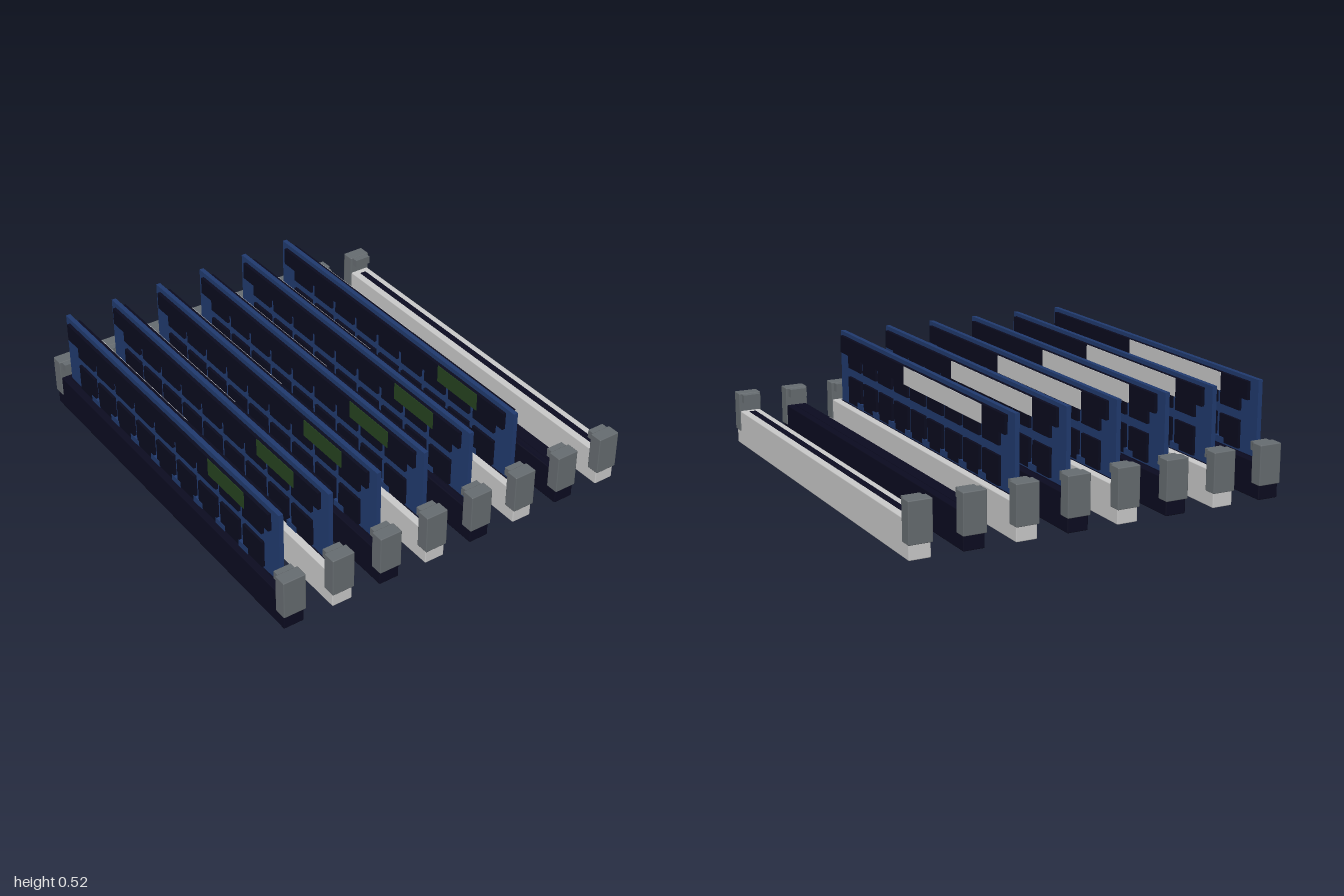
import * as THREE from 'three';
import { RoundedBoxGeometry } from 'three/addons/geometries/RoundedBoxGeometry.js';

const mat = (name, color) => {
  const m = new THREE.MeshStandardMaterial({ color });
  m.name = name;
  return m;
};

export function createModel() {
  const dark = mat('darkPlastic', 0x0b0b20);
  const light = mat('lightPlastic', 0xc9c9c9);
  const grey = mat('greyLatch', 0x666c70);
  const blue = mat('blueBoard', 0x203a6e);
  const chip = mat('blackChip', 0x0a0b1e);
  const green = mat('greenLabel', 0x25421f);

  // Box given by its limits on each axis; bevel > 0 softens the edges
  function box(parent, name, material, [x0, x1], [y0, y1], [z0, z1], bevel = 0) {
    const size = [x1 - x0, y1 - y0, z1 - z0];
    const geo = bevel ? new RoundedBoxGeometry(...size, 1, bevel) : new THREE.BoxGeometry(...size);
    const mesh = new THREE.Mesh(geo, material);
    mesh.name = name;
    mesh.position.set((x0 + x1) / 2, (y0 + y1) / 2, (z0 + z1) / 2);
    parent.add(mesh);
    return mesh;
  }

  // Long socket with a dark groove and a latch at each end
  function socket(material) {
    const g = new THREE.Group();
    g.name = 'socket';
    box(g, 'socketBase', material, [-0.05, 0.05], [0, 0.168], [-0.99, 0.99], 0.005);
    box(g, 'socketGroove', dark, [-0.016, 0.016], [0.16, 0.17], [-0.905, 0.905]);
    for (const s of [1, -1]) {
      const span = (a, b) => (s > 0 ? [a, b] : [-b, -a]);
      box(g, 'latch', grey, [-0.055, 0.055], [0.068, 0.255], span(0.936, 1), 0.004);
      box(g, 'latchTab', grey, [-0.042, 0.042], [0.212, 0.252], span(0.905, 0.94));
    }
    return g;
  }

  // Upright board with chips, a cover strip and a label on both sides
  function memoryBoard() {
    const g = new THREE.Group();
    g.name = 'memoryBoard';
    box(g, 'board', blue, [-0.011, 0.011], [0.169, 0.525], [-0.905, 0.905]);
    for (const s of [1, -1]) {
      const out = (a, b) => (s > 0 ? [a, b] : [-b, -a]);
      box(g, 'coverStrip', chip, out(0.018, 0.034), [0.425, 0.51], [-0.855, 0.86]);
      for (let i = 0; i < 9; i++) {
        const z = 0.004 + (4 - i) * 0.1785;
        const span = [z - 0.0735, z + 0.0735];
        box(g, 'upperChip', chip, out(0.011, 0.024), [0.36, 0.49], span);
        box(g, 'lowerChip', chip, out(0.011, 0.024), [0.183, 0.315], span);
      }
      // Small blue feet along the bottom edge
      for (let i = 0; i < 8; i++) {
        const z = 0.647 - i * 0.1835;
        box(g, 'contactFoot', blue, out(0.011, 0.026), [0.178, 0.208], [z - 0.036, z + 0.036]);
      }
    }
    box(g, 'lightLabel', light, [0.033, 0.037], [0.425, 0.509], [-0.65, 0.118]);
    box(g, 'greenLabel', green, [-0.037, -0.033], [0.425, 0.509], [0.4, 0.68]);
    return g;
  }

  // Eight alternating sockets, the first six filled
  const model = new THREE.Group();
  model.name = 'memoryBank';
  for (let i = 0; i < 8; i++) {
    const slot = socket(i % 2 ? light : dark);
    slot.position.x = (i - 3.5) * 0.2437;
    if (i < 6) slot.add(memoryBoard());
    model.add(slot);
  }
  return model;
}
